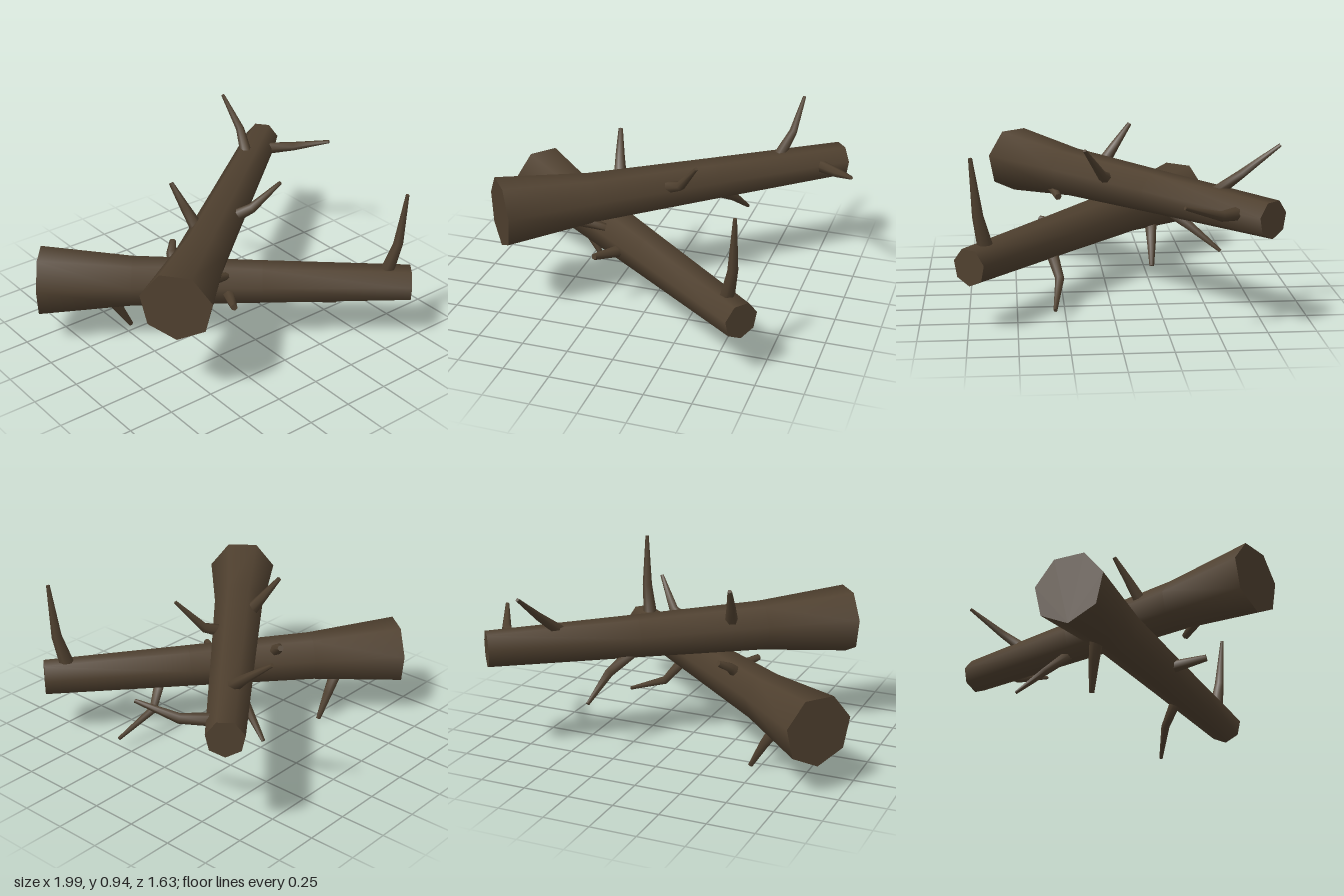
import * as THREE from 'three';

const bark = new THREE.MeshStandardMaterial({ color: 0x4f402f });
bark.name = 'dark bark';

// Tapered limb: smooth-sided rings [x, y, z, radius] swept along a path, with flat caps
function limb(name, rings, sides, side) {
  const centres = rings.map(r => new THREE.Vector3(r[0], r[1], r[2]));
  const pos = [], index = [];
  const last = rings.length - 1;
  centres.forEach((c, k) => {
    const d = new THREE.Vector3();
    if (k > 0) d.add(c.clone().sub(centres[k - 1]).normalize());
    if (k < last) d.add(centres[k + 1].clone().sub(c).normalize());
    d.normalize();
    const u = side.clone().addScaledVector(d, -side.dot(d)).normalize();
    const v = d.clone().cross(u);
    for (let i = 0; i < sides; i++) {
      const a = i / sides * Math.PI * 2;
      const p = c.clone()
        .addScaledVector(u, Math.cos(a) * rings[k][3])
        .addScaledVector(v, Math.sin(a) * rings[k][3]);
      pos.push(p.x, p.y, p.z);
    }
  });
  for (let k = 0; k < last; k++) {
    for (let i = 0; i < sides; i++) {
      const j = (i + 1) % sides, a = k * sides, b = a + sides;
      index.push(a + i, a + j, b + j, a + i, b + j, b + i);
    }
  }
  // caps use their own vertices so their edges stay sharp
  for (const k of [0, last]) {
    const start = pos.length / 3;
    pos.push(...pos.slice(k * sides * 3, (k + 1) * sides * 3));
    for (let i = 1; i < sides - 1; i++) {
      if (k === 0) index.push(start, start + i + 1, start + i);
      else index.push(start, start + i, start + i + 1);
    }
  }
  const geo = new THREE.BufferGeometry();
  geo.setAttribute('position', new THREE.Float32BufferAttribute(pos, 3));
  geo.setIndex(index);
  geo.computeVertexNormals();
  const mesh = new THREE.Mesh(geo, bark);
  mesh.name = name;
  return mesh;
}

// Seven-sided trunk, flared at its thick end, with a corner pointing down
function trunk(name, y, from, to) {
  const rings = [[0, 0.189], [0.25, 0.138], [0.6, 0.118], [1, 0.098]].map(([t, r]) => [
    THREE.MathUtils.lerp(from[0], to[0], t), y, THREE.MathUtils.lerp(from[1], to[1], t), r,
  ]);
  return limb(name, rings, 7, new THREE.Vector3(0, -1, 0));
}

// Broken branch: a bent, tapering twig
function branch(name, rings) {
  const a = new THREE.Vector3(...rings[0]);
  const b = new THREE.Vector3(...rings[rings.length - 1]);
  const side = b.sub(a).cross(new THREE.Vector3(0.5, 0.3, 0.8)).normalize();
  return limb(name, rings, 6, side);
}

export function createModel() {
  const model = new THREE.Group();
  model.name = 'crossedLogs';

  const lower = new THREE.Group();
  lower.name = 'lowerLog';
  lower.add(
    trunk('lowerTrunk', 0.355, [-0.885, -0.498], [0.667, 0.738]),
    branch('uprightBranch', [[0.565, 0.4, 0.65, 0.042], [0.605, 0.6, 0.69, 0.028], [0.617, 0.895, 0.72, 0.01]]),
    branch('footBranch', [[-0.6, 0.26, -0.3, 0.038], [-0.53, 0.15, -0.3, 0.028], [-0.453, 0.012, -0.295, 0.014]]),
    branch('bentFootBranch', [[0.2, 0.3, 0.315, 0.034], [0.3, 0.175, 0.275, 0.024], [0.535, 0.078, 0.308, 0.01]]),
    branch('frontStub', [[-0.15, 0.335, 0.2, 0.034], [-0.24, 0.365, 0.365, 0.018]]),
    branch('backStub', [[-0.29, 0.43, -0.09, 0.036], [-0.275, 0.475, -0.14, 0.028], [-0.225, 0.51, -0.195, 0.017]]),
  );

  const upper = new THREE.Group();
  upper.name = 'upperLog';
  upper.add(
    trunk('upperTrunk', 0.615, [-0.707, 0.5], [0.845, -0.74]),
    branch('topBranch', [[-0.215, 0.68, 0.01, 0.036], [-0.24, 0.78, -0.06, 0.025], [-0.265, 0.895, -0.143, 0.012]]),
    branch('frontBranch', [[0.04, 0.65, 0, 0.035], [0.135, 0.69, 0.04, 0.027], [0.25, 0.848, 0.138, 0.01]]),
    branch('tallBranch', [[0.53, 0.67, -0.49, 0.036], [0.585, 0.79, -0.63, 0.024], [0.602, 0.935, -0.815, 0.01]]),
    branch('endBranch', [[0.74, 0.625, -0.6, 0.036], [0.88, 0.645, -0.48, 0.026], [0.985, 0.715, -0.29, 0.01]]),
    branch('undersideBranch', [[0.24, 0.53, -0.29, 0.034], [0.31, 0.45, -0.41, 0.025], [0.357, 0.325, -0.565, 0.01]]),
    branch('undersideStub', [[-0.34, 0.53, 0.29, 0.032], [-0.21, 0.495, 0.26, 0.02]]),
  );

  model.add(lower, upper);
  return model;
}
